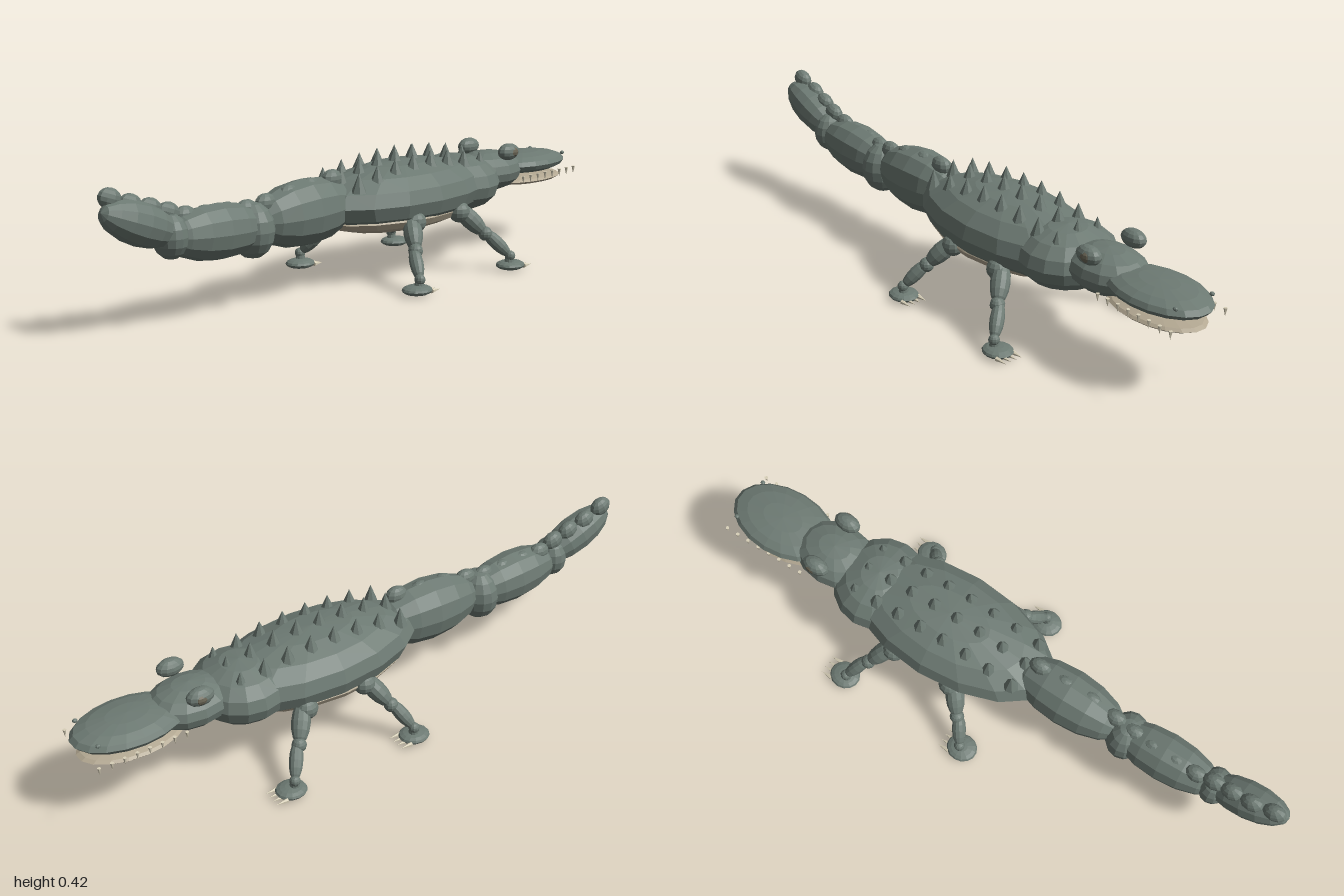
import * as THREE from 'three';

function mat(name, color) {
  const m = new THREE.MeshStandardMaterial({ color, flatShading: true });
  m.name = name;
  return m;
}

export function createModel() {
  const hide = mat('hide green grey', 0x6d7a73);
  const belly = mat('belly tan', 0xb3a892);
  const ivory = mat('tooth ivory', 0xd8d0b8);
  const iris = mat('eye brown', 0x6b6656);
  const root = new THREE.Group();
  root.name = 'crocodile';

  const V = (a) => new THREE.Vector3(...a);
  const up = new THREE.Vector3(0, 1, 0);

  // Upright faceted ellipsoid
  function blob(name, pos, size, material = hide, w = 14, h = 8, parent = root) {
    const mesh = new THREE.Mesh(new THREE.SphereGeometry(1, w, h), material);
    mesh.name = name;
    mesh.position.set(...pos);
    mesh.scale.set(...size);
    parent.add(mesh);
    return mesh;
  }

  // Ellipsoid whose poles lie at two given points
  function limb(name, a, b, rx, rz = rx, parent = root) {
    const A = V(a), B = V(b);
    const mid = A.clone().add(B).multiplyScalar(0.5);
    const mesh = blob(name, mid.toArray(), [rx, A.distanceTo(B) / 2, rz], hide, 12, 8, parent);
    mesh.quaternion.setFromUnitVectors(up, B.sub(A).normalize());
    return mesh;
  }

  function cone(name, pos, r, h, material, sides, parent = root) {
    const mesh = new THREE.Mesh(new THREE.ConeGeometry(r, h, sides), material);
    mesh.name = name;
    mesh.position.set(...pos);
    parent.add(mesh);
    return mesh;
  }

  // Trunk, chest and belly
  blob('body', [0, 0.255, -0.19], [0.182, 0.11, 0.365], hide, 16, 8);
  blob('chest', [0, 0.255, -0.45], [0.155, 0.095, 0.15], hide, 16, 8);
  blob('belly', [0, 0.2, -0.17], [0.16, 0.052, 0.3], belly, 16, 8);

  // Head and jaws
  blob('head', [0, 0.272, -0.62], [0.105, 0.068, 0.14]);
  blob('snout', [0, 0.28, -0.82], [0.113, 0.037, 0.18], hide, 18, 8);
  blob('lowerJaw', [0, 0.226, -0.815], [0.1, 0.018, 0.17], belly, 18, 8);
  for (const s of [1, -1]) {
    blob('eyeLid', [s * 0.086, 0.343, -0.63], [0.028, 0.028, 0.045], hide, 12, 8);
    blob('eye', [s * 0.1, 0.343, -0.635], [0.0155, 0.018, 0.024], iris, 10, 6);
    blob('nostril', [s * 0.07, 0.3, -0.95], [0.007, 0.006, 0.008], hide, 8, 6);
    for (let i = 0; i < 8; i++) {
      const tooth = cone('tooth', [s * 0.105, 0.241, -0.69 - i * 0.04], 0.006, 0.026, ivory, 6);
      tooth.rotation.x = Math.PI;
    }
  }

  // Three rows of back spikes, tallest in the middle
  for (let i = 0; i < 8; i++) {
    const z = -0.49 + i * 0.0815;
    const k = Math.sin(((i + 1) / 9) * Math.PI);
    for (const c of [-1, 0, 1]) {
      const tip = 0.36 + 0.048 * k - (c ? 0.013 : 0);
      const h = 0.055 + 0.02 * k;
      cone('backSpike', [c * 0.077, tip - h / 2, z], 0.02 + 0.014 * k, h, hide, 7);
    }
  }

  // Tail segments and the joints between them
  limb('tailBase', [0, 0.262, 0.04], [0, 0.25, 0.44], 0.09, 0.103);
  blob('tailJoint', [0, 0.235, 0.45], [0.075, 0.085, 0.065]);
  limb('tailMiddle', [0, 0.243, 0.4], [0, 0.26, 0.77], 0.076, 0.083);
  blob('tailJoint', [0, 0.265, 0.755], [0.058, 0.066, 0.05]);
  limb('tailTip', [0, 0.265, 0.73], [0, 0.365, 0.99], 0.058, 0.062);

  // Bumps along the tail: z, top height, x
  const bumps = [
    [0.13, 0.373, 0.01], [0.22, 0.36, 0.008], [0.31, 0.352, 0.01], [0.4, 0.337, 0.006],
    [0.47, 0.328, 0], [0.54, 0.33, -0.008], [0.62, 0.333, -0.01], [0.69, 0.34, -0.014],
    [0.75, 0.36, -0.012], [0.81, 0.38, -0.016], [0.875, 0.4, -0.02], [0.945, 0.426, -0.018],
  ];
  for (const [z, top, x] of bumps) {
    const bump = blob('tailBump', [x, top - 0.03, z], [0.025, 0.03, 0.038], hide, 10, 8);
    bump.rotation.x = z > 0.7 ? -0.35 : 0;
  }

  // Legs: hip, knee, ankle and foot with four claws
  const legs = [
    ['frontLeg', -0.31, -0.375, -0.43, -0.44],
    ['backLeg', -0.1, -0.04, 0.005, 0.01],
  ];
  for (const [name, zh, zk, za, zf] of legs) {
    for (const s of [1, -1]) {
      const leg = new THREE.Group();
      leg.name = name;
      root.add(leg);
      const hip = [s * 0.145, 0.195, zh], knee = [s * 0.2, 0.122, zk], ankle = [s * 0.258, 0.05, za];
      blob('hip', hip, [0.034, 0.034, 0.036], hide, 12, 8, leg);
      limb('upperLeg', [s * 0.125, 0.215, zh], knee, 0.03, 0.03, leg);
      blob('knee', knee, [0.023, 0.023, 0.023], hide, 12, 8, leg);
      limb('lowerLeg', [s * 0.19, 0.133, zk], ankle, 0.022, 0.022, leg);
      blob('ankle', ankle, [0.017, 0.017, 0.017], hide, 10, 8, leg);
      const shin = new THREE.Mesh(new THREE.CylinderGeometry(0.012, 0.018, 0.03, 10), hide);
      shin.name = 'footNeck';
      shin.position.set(s * 0.256, 0.036, za);
      leg.add(shin);
      blob('foot', [s * 0.252, 0.018, zf], [0.045, 0.016, 0.05], hide, 14, 8, leg);
      for (let i = 0; i < 4; i++) {
        const x = s * 0.252 + (i - 1.5) * 0.02;
        const claw = cone('claw', [x, 0.014, zf - 0.052], 0.008, 0.04, ivory, 6, leg);
        claw.rotation.x = -Math.PI / 2;
      }
    }
  }
  return root;
}
